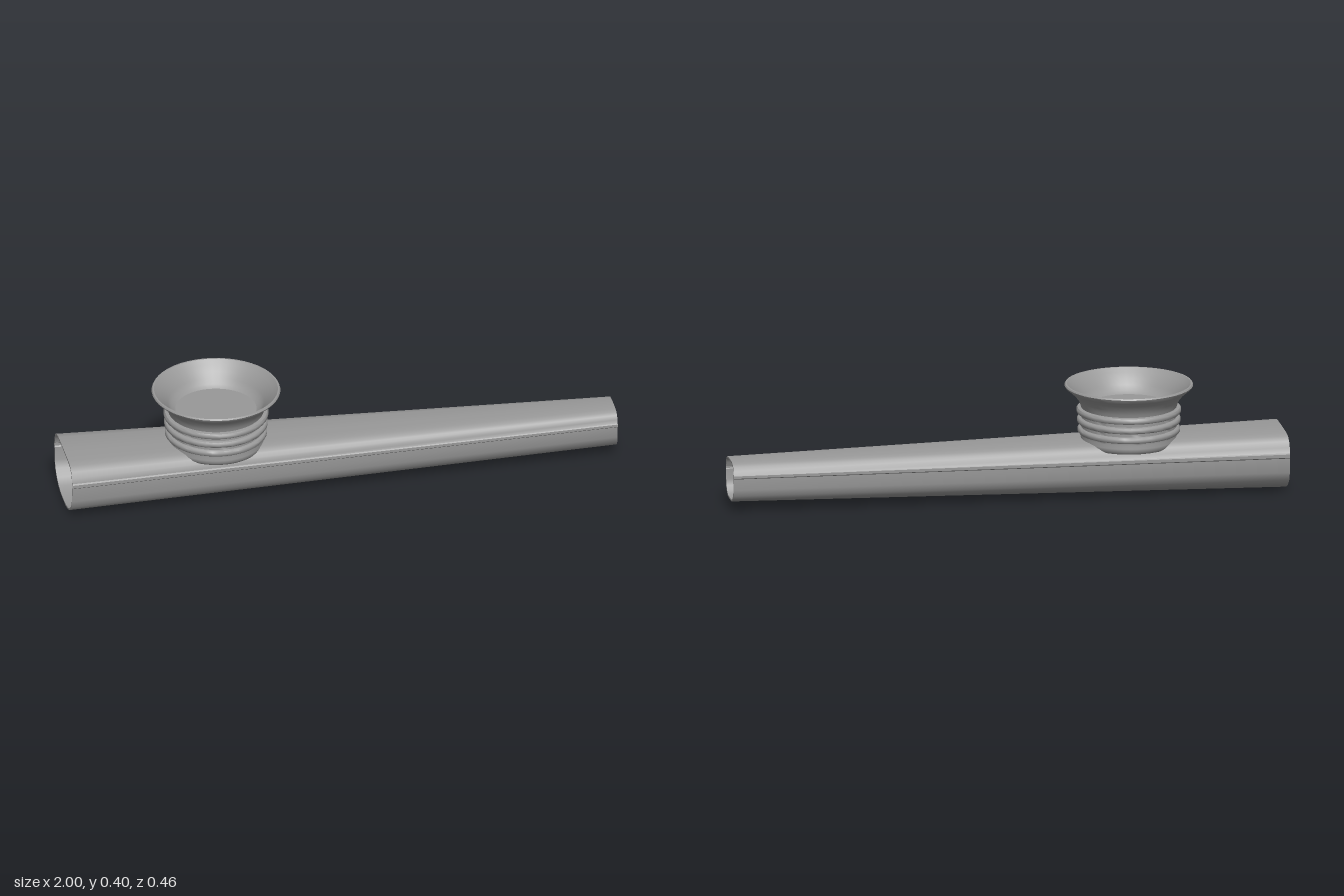
import * as THREE from 'three';
import { toCreasedNormals } from 'three/addons/utils/BufferGeometryUtils.js';

// Half sections [z, y], bottom to top, with a seam bead on the side
const WIDE = [[0, 0], [0.045, 0.001], [0.085, 0.009], [0.12, 0.025], [0.148, 0.05], [0.161, 0.08],
  [0.163, 0.133], [0.168, 0.137], [0.168, 0.149], [0.163, 0.153], [0.159, 0.172], [0.146, 0.192],
  [0.122, 0.205], [0.09, 0.209], [0, 0.21]];
const NARROW = [[0, 0.032], [0.025, 0.033], [0.045, 0.036], [0.062, 0.046], [0.074, 0.062], [0.08, 0.085],
  [0.081, 0.126], [0.084, 0.129], [0.084, 0.138], [0.081, 0.141], [0.078, 0.154], [0.07, 0.168],
  [0.058, 0.176], [0.042, 0.18], [0, 0.181]];

// Full ring at x, shrunk towards its middle by the wall thickness
function ring(half, x, wall) {
  const full = [...half, ...half.slice(1, -1).reverse().map(([z, y]) => [-z, y])];
  const low = half[0][1], high = half[half.length - 1][1];
  const mid = (low + high) / 2;
  const wide = Math.max(...half.map(p => p[0]));
  const sz = 1 - wall / wide, sy = 1 - 2 * wall / (high - low);
  return full.map(([z, y]) => [x, mid + (y - mid) * sy, z * sz]);
}

function loft(rings) {
  const n = rings[0].length, index = [];
  for (let i = 0; i < rings.length - 1; i++) {
    for (let j = 0; j < n; j++) {
      const a = i * n + j, b = i * n + (j + 1) % n;
      index.push(a, a + n, b + n, a, b + n, b);
    }
  }
  const g = new THREE.BufferGeometry();
  g.setAttribute('position', new THREE.Float32BufferAttribute(rings.flat(2), 3));
  g.setIndex(index);
  return toCreasedNormals(g, 0.6);
}

export function createModel() {
  const group = new THREE.Group();
  const metal = new THREE.MeshStandardMaterial({ color: 0x999999 });
  metal.name = 'grey metal';
  const add = (name, geometry) => {
    const mesh = new THREE.Mesh(geometry, metal);
    mesh.name = name;
    group.add(mesh);
    return mesh;
  };

  // Hollow tapered tube, open at both ends
  const wall = 0.006;
  add('taperedTube', loft([
    ring(WIDE, -1, 0), ring(NARROW, 1, 0), ring(NARROW, 1, wall), ring(WIDE, -1, wall), ring(WIDE, -1, 0),
  ]));

  // Turret: rounded skirt, three beads, flared lip and inner funnel
  const profile = [[0.125, 0.172], [0.15, 0.17], [0.164, 0.174], [0.172, 0.184], [0.173, 0.195], [0.17, 0.208]];
  [[0.227, 0.183], [0.263, 0.185], [0.299, 0.187]].forEach(([y, r]) => {
    profile.push([0.171, y - 0.012], [r - 0.004, y - 0.01], [r, y - 0.005],
      [r, y + 0.005], [r - 0.004, y + 0.01], [0.171, y + 0.012]);
  });
  profile.push([0.174, 0.322], [0.182, 0.339], [0.197, 0.358], [0.214, 0.373], [0.228, 0.385],
    [0.23, 0.39], [0.227, 0.395], [0.221, 0.395],
    [0.205, 0.38], [0.187, 0.362], [0.172, 0.342], [0.16, 0.325], [0.145, 0.315]);
  const turret = new THREE.LatheGeometry(profile.map(([r, y]) => new THREE.Vector2(r, y)), 48);
  add('turret', toCreasedNormals(turret, 0.7)).position.x = -0.445;

  // Flat membrane at the bottom of the funnel
  const membrane = add('membrane', new THREE.CircleGeometry(0.146, 48).rotateX(-Math.PI / 2));
  membrane.position.set(-0.445, 0.315, 0);

  return group;
}
